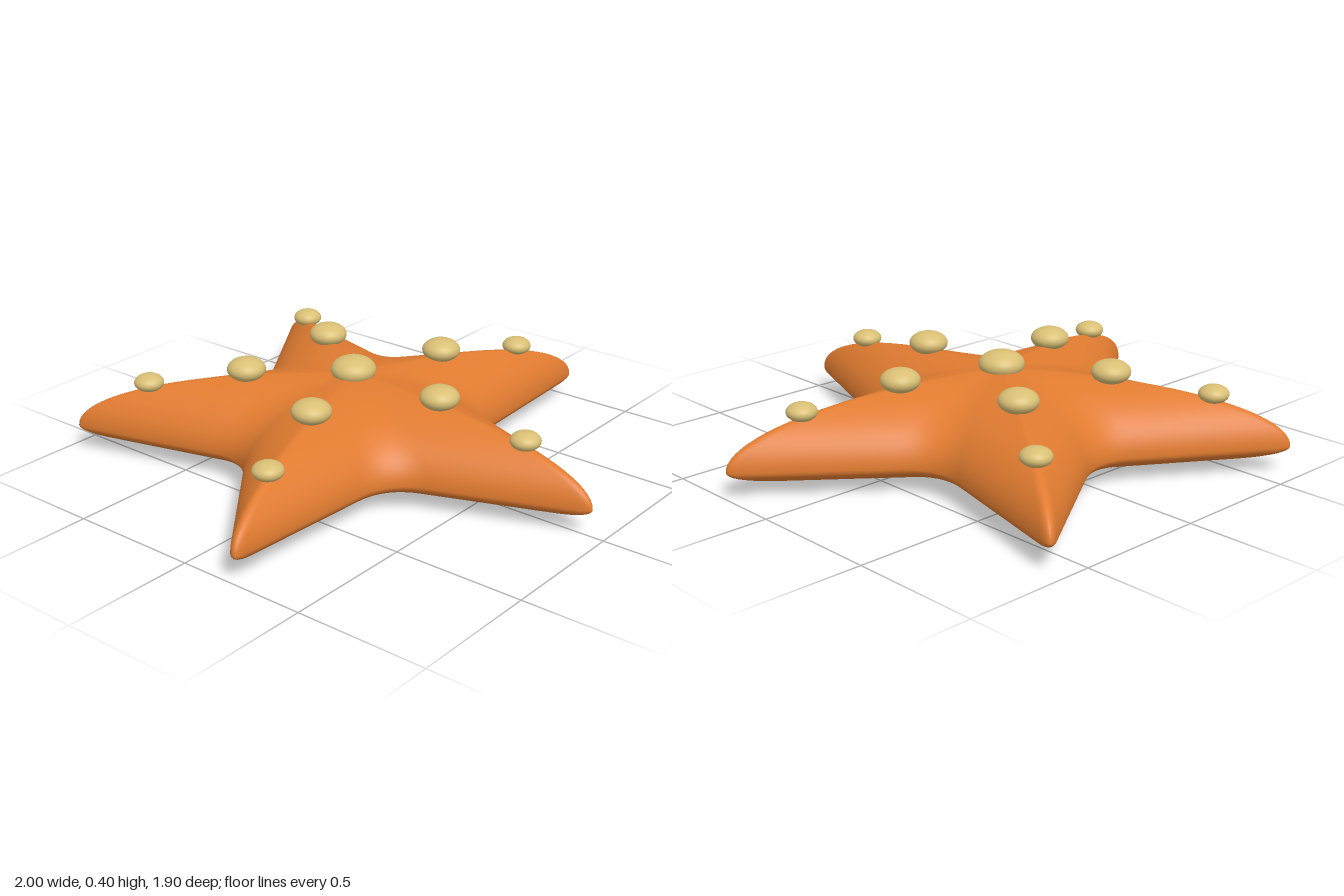
import * as THREE from 'three';

const CENTRE_Z = -0.1, RIM_Y = 0.1, TOP = 0.235, BOTTOM = 0.1;

// Star outline as [x, z] pairs: five arms with rounded tips and rounded valleys
function starOutline() {
  const apex = 1.085, notch = 0.464, step = Math.PI / 5;
  const corner = (k) => new THREE.Vector2(Math.sin(k * step), Math.cos(k * step))
    .multiplyScalar(k % 2 === 0 ? apex : notch);
  const points = [];
  for (let k = 0; k < 10; k++) {
    const p = corner(k), prev = corner(k + 9), next = corner(k + 1);
    const cut = k % 2 === 0 ? 0.075 : 0.15;
    const a = p.clone().add(prev.clone().sub(p).setLength(cut));
    const b = p.clone().add(next.clone().sub(p).setLength(cut));
    points.push(...new THREE.QuadraticBezierCurve(a, p, b).getPoints(12));
    // straight flank towards the next corner
    const nextCut = k % 2 === 0 ? 0.15 : 0.075;
    const end = next.clone().add(p.clone().sub(next).setLength(nextCut));
    for (let s = 1; s < 8; s++) points.push(b.clone().lerp(end, s / 8));
  }
  return points;
}

// Domed body: the outline shrinks towards a top and a bottom pole
function bodyGeometry() {
  const outline = starOutline(), n = outline.length, rings = 48;
  const position = [0, RIM_Y + TOP, CENTRE_Z], index = [];
  for (let i = 1; i < rings; i++) {
    const phi = (i / rings) * Math.PI, t = Math.sin(phi), c = Math.cos(phi);
    const y = RIM_Y + (c > 0 ? TOP : BOTTOM) * c;
    for (const p of outline) position.push(p.x * t, y, p.y * t + CENTRE_Z);
  }
  position.push(0, RIM_Y - BOTTOM, CENTRE_Z);
  const last = position.length / 3 - 1;
  const id = (i, j) => 1 + (i - 1) * n + (j % n);
  for (let j = 0; j < n; j++) {
    index.push(0, id(1, j), id(1, j + 1));
    for (let i = 1; i < rings - 1; i++) {
      index.push(id(i, j), id(i + 1, j), id(i + 1, j + 1));
      index.push(id(i, j), id(i + 1, j + 1), id(i, j + 1));
    }
    index.push(id(rings - 1, j), last, id(rings - 1, j + 1));
  }
  const geometry = new THREE.BufferGeometry();
  geometry.setAttribute('position', new THREE.Float32BufferAttribute(position, 3));
  geometry.setIndex(index);
  geometry.computeVertexNormals();
  return geometry;
}

export function createModel() {
  const orange = new THREE.MeshStandardMaterial({ color: 0xe07b30 });
  orange.name = 'orange skin';
  const sand = new THREE.MeshStandardMaterial({ color: 0xd9bf75 });
  sand.name = 'sand bumps';

  const model = new THREE.Group();
  model.name = 'starfish';
  const body = new THREE.Mesh(bodyGeometry(), orange);
  body.name = 'body';
  model.add(body);

  // Flattened bumps: one in the middle and two along each arm
  const sphere = new THREE.SphereGeometry(1, 32, 20);
  const addBump = (name, angle, distance, y, radius) => {
    const bump = new THREE.Mesh(sphere, sand);
    bump.name = name;
    bump.position.set(Math.sin(angle) * distance, y, Math.cos(angle) * distance + CENTRE_Z);
    bump.scale.set(radius, radius * 0.6, radius);
    model.add(bump);
  };
  addBump('centreBump', 0, 0, 0.35, 0.085);
  for (let k = 0; k < 5; k++) {
    const angle = (k * 2 * Math.PI) / 5;
    addBump('innerArmBump', angle, 0.4, 0.343, 0.073);
    addBump('outerArmBump', angle, 0.77, 0.281, 0.056);
  }
  return model;
}
